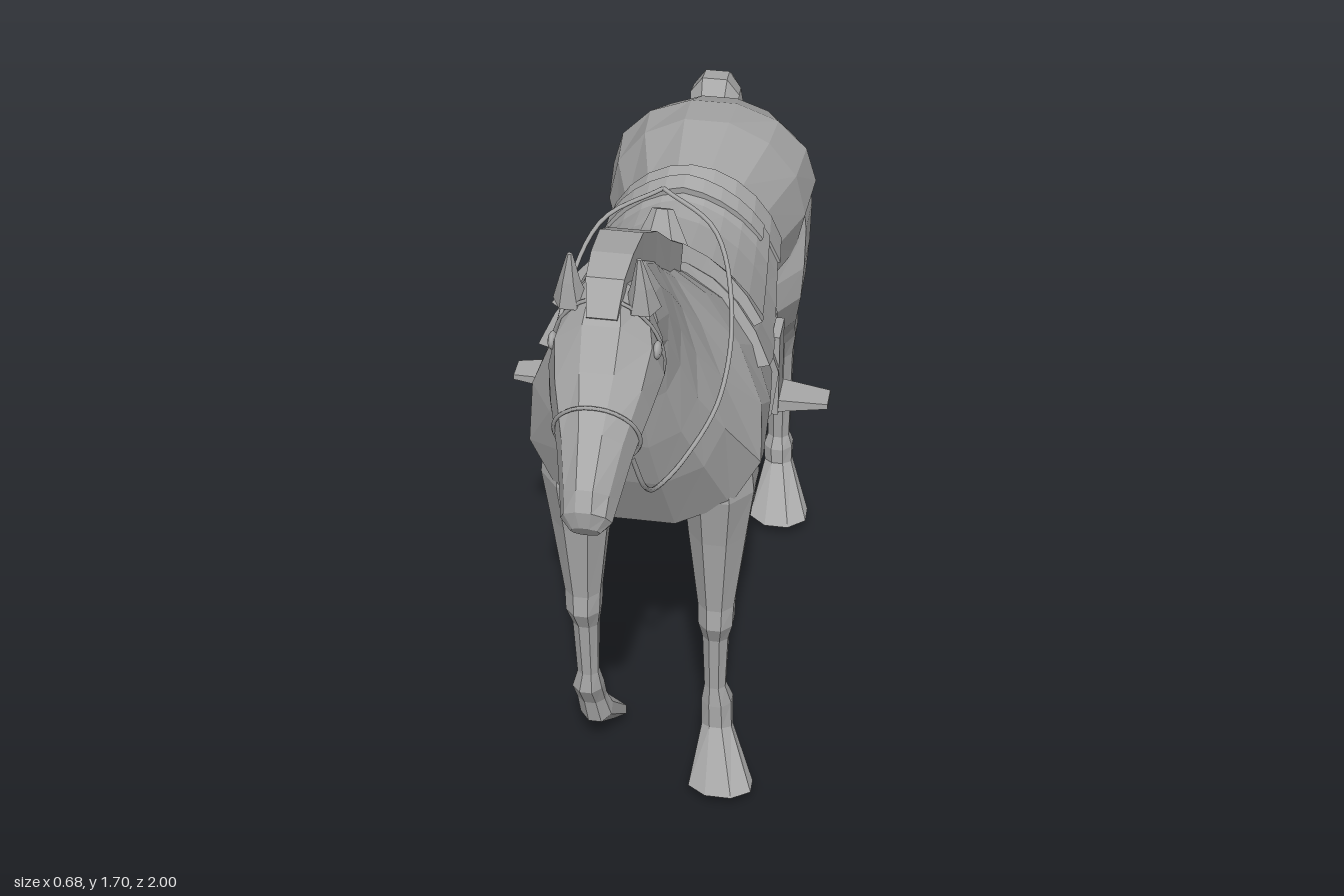
import * as THREE from 'three';

const grey = new THREE.MeshStandardMaterial({ color: 0xa8a8a8 });
grey.name = 'grey';

// Section: [frontZ, frontY, backZ, backY, halfWidth, egg, centreX]
const point = (s, a, off = 0) => {
  const [fz, fy, bz, by, w, k = 0, cx = 0] = s;
  const h = Math.hypot(fz - bz, fy - by) / 2;
  const c = Math.cos(a) * (h + off) / (2 * h);
  return new THREE.Vector3(
    cx + (w + off) * Math.sin(a) * (1 + k * Math.cos(a)),
    (fy + by) / 2 + (fy - by) * c,
    (fz + bz) / 2 + (fz - bz) * c);
};

// Full ring round a section
const ring = (s, n, off = 0) =>
  Array.from({ length: n }, (_, i) => point(s, (i + 0.5) / n * Math.PI * 2, off));

// Section at a fractional position in a list
const at = (list, t) => {
  const i = Math.min(Math.floor(t), list.length - 2);
  return list[i].map((v, j) => v + (list[i + 1][j] - v) * (t - i));
};

// Skin closed rings, cap both ends, and turn the faces outwards
function loft(rings) {
  const n = rings[0].length, pos = rings.flat().flatMap((p) => [p.x, p.y, p.z]), idx = [];
  for (let r = 0; r < rings.length - 1; r++) {
    for (let i = 0; i < n; i++) {
      const a = r * n + i, b = r * n + (i + 1) % n;
      idx.push(a, b, a + n, b, b + n, a + n);
    }
  }
  const last = (rings.length - 1) * n;
  for (let i = 0; i < n / 2 - 1; i++) {
    const a = i, b = i + 1, c = n - 2 - i, d = n - 1 - i;
    idx.push(a, c, b, a, d, c);
    idx.push(last + a, last + b, last + c, last + a, last + c, last + d);
  }
  const all = rings.flat(), cross = new THREE.Vector3();
  let volume = 0;
  for (let i = 0; i < idx.length; i += 3) {
    volume += all[idx[i]].dot(cross.crossVectors(all[idx[i + 1]], all[idx[i + 2]]));
  }
  if (volume < 0) idx.reverse();
  const g = new THREE.BufferGeometry();
  g.setAttribute('position', new THREE.Float32BufferAttribute(pos, 3));
  g.setIndex(idx);
  const flat = g.toNonIndexed();
  flat.computeVertexNormals();
  return flat;
}

const BODY = [
  [-0.72, 1.18, -0.745, 1.04, 0.09, 0],
  [-0.67, 1.225, -0.70, 0.93, 0.18, 0],
  [-0.58, 1.265, -0.61, 0.87, 0.235, 0],
  [-0.47, 1.28, -0.49, 0.81, 0.225, 0],
  [-0.30, 1.265, -0.36, 0.82, 0.175, -0.05],
  [-0.10, 1.215, -0.15, 0.765, 0.20, -0.08],
  [0.10, 1.255, 0.05, 0.75, 0.225, -0.1],
  [0.20, 1.33, 0.28, 0.76, 0.243, -0.15],
  [0.27, 1.39, 0.39, 0.81, 0.236, -0.3],
  [0.35, 1.46, 0.48, 0.98, 0.165, -0.45],
  [0.42, 1.515, 0.53, 1.11, 0.124, -0.4],
  [0.49, 1.565, 0.565, 1.24, 0.102, -0.3],
  [0.59, 1.62, 0.60, 1.35, 0.09, -0.2],
  [0.68, 1.64, 0.64, 1.38, 0.08, -0.1],
];
const HEAD = [
  [0.64, 1.63, 0.62, 1.40, 0.06, 0],
  [0.735, 1.655, 0.655, 1.345, 0.095, -0.1],
  [0.80, 1.59, 0.71, 1.325, 0.108, 0.05],
  [0.85, 1.52, 0.78, 1.315, 0.093, 0.1],
  [0.92, 1.435, 0.84, 1.28, 0.07, 0],
  [0.985, 1.355, 0.89, 1.245, 0.055, -0.1],
  [1.0, 1.315, 0.94, 1.235, 0.048, 0],
  [0.995, 1.275, 0.97, 1.24, 0.028, 0],
];
const MANE = [
  [0.23, 1.42, 0.29, 1.34, 0.085],
  [0.33, 1.49, 0.38, 1.41, 0.075],
  [0.455, 1.59, 0.49, 1.50, 0.065],
  [0.58, 1.665, 0.60, 1.57, 0.058],
  [0.68, 1.68, 0.68, 1.58, 0.055],
  [0.755, 1.67, 0.73, 1.58, 0.05],
  [0.80, 1.605, 0.75, 1.55, 0.04],
];
const TAIL = [
  [-0.70, 1.15, -0.71, 1.07, 0.04, 0, -0.01],
  [-0.75, 1.155, -0.76, 1.075, 0.052, 0, -0.03],
  [-0.79, 1.205, -0.80, 1.11, 0.058, 0, -0.03],
  [-0.84, 1.2, -0.83, 1.11, 0.056, 0, -0.03],
  [-0.895, 1.165, -0.855, 1.08, 0.052, 0, -0.03],
  [-0.955, 1.04, -0.895, 0.99, 0.048, 0, -0.02],
  [-1.0, 0.89, -0.935, 0.87, 0.033, 0, 0.005],
  [-0.997, 0.73, -0.99, 0.74, 0.006, 0, 0.035],
];
// Legs on the model's left; mirrored for the right
const FORELEG = [
  [0.36, 1.08, 0.22, 1.08, 0.07, 0, 0.14],
  [0.395, 0.88, 0.19, 0.87, 0.08, 0, 0.15],
  [0.37, 0.75, 0.222, 0.75, 0.066, 0, 0.147],
  [0.345, 0.55, 0.255, 0.55, 0.042, 0, 0.145],
  [0.35, 0.50, 0.255, 0.49, 0.04, 0, 0.145],
  [0.325, 0.45, 0.26, 0.44, 0.03, 0, 0.143],
  [0.31, 0.30, 0.265, 0.30, 0.025, 0, 0.142],
  [0.315, 0.25, 0.24, 0.25, 0.036, 0, 0.145],
];
const HINDLEG = [
  [-0.46, 1.12, -0.69, 1.10, 0.095, 0, 0.12],
  [-0.42, 0.98, -0.715, 1.00, 0.108, 0, 0.125],
  [-0.40, 0.89, -0.67, 0.92, 0.106, 0, 0.128],
  [-0.405, 0.81, -0.65, 0.84, 0.095, 0, 0.133],
  [-0.49, 0.70, -0.665, 0.74, 0.07, 0, 0.14],
  [-0.61, 0.605, -0.72, 0.66, 0.047, 0, 0.148],
  [-0.65, 0.56, -0.777, 0.585, 0.042, 0, 0.15],
  [-0.68, 0.50, -0.77, 0.50, 0.033, 0, 0.15],
  [-0.705, 0.24, -0.755, 0.24, 0.028, 0, 0.15],
  [-0.69, 0.21, -0.77, 0.21, 0.038, 0, 0.15],
];
// Pastern and hoof endings, one per leg
const FEET = {
  foreLeft: [[0.315, 0.19, 0.255, 0.17, 0.036, 0, 0.147], [0.395, 0.055, 0.305, 0.065, 0.076, 0, 0.165]],
  foreRight: [[0.28, 0.19, 0.225, 0.20, 0.034, 0, 0.142], [0.265, 0.12, 0.21, 0.17, 0.038, 0, 0.135],
    [0.15, 0.03, 0.147, 0.095, 0.05, 0, 0.13]],
  hindLeft: [[-0.69, 0.17, -0.755, 0.16, 0.036, 0, 0.152], [-0.59, 0.045, -0.695, 0.065, 0.076, 0, 0.165]],
  hindRight: [[-0.70, 0.17, -0.765, 0.16, 0.036, 0, 0.15], [-0.645, 0.005, -0.745, 0.065, 0.072, 0, 0.15]],
};

export function createModel() {
  const model = new THREE.Group();
  model.name = 'saddledHorse';
  const add = (name, geometry) => {
    const mesh = new THREE.Mesh(geometry, grey);
    mesh.name = name;
    model.add(mesh);
    return mesh;
  };
  const rings = (list, n) => list.map((s) => ring(s, n));
  const tube = (name, pts, radius, closed = false) =>
    add(name, new THREE.TubeGeometry(new THREE.CatmullRomCurve3(pts, closed), 40, radius, 5, closed));

  // Animal
  add('bodyAndNeck', loft(rings(BODY, 14)));
  add('head', loft(rings(HEAD, 10)));
  add('mane', loft(rings(MANE, 4)));
  add('tail', loft(rings(TAIL, 6)));
  for (const [name, foot] of Object.entries(FEET)) {
    const mirror = name.endsWith('Right') ? -1 : 1;
    const list = [...(name.startsWith('fore') ? FORELEG : HINDLEG), ...foot];
    add(name + 'Leg', loft(rings(list.map((s) => [...s.slice(0, 6), s[6] * mirror]), 8)));
  }

  // Saddle layers: thick arches over the back, the sides flaring forward and thinning
  const shell = (name, t0, t1, A, outer, flare = 0, thin = 0) => {
    const angles = Array.from({ length: 11 }, (_, i) => A * (i / 5 - 1));
    add(name, loft(Array.from({ length: 7 }, (_, j) => {
      const side = (off) => angles.map((a) => {
        const u = Math.abs(a) / A;
        return point(at(BODY, t0 + (t1 - t0 + flare * u) * j / 6), a, off * (1 - thin * u));
      });
      return [...side(outer), ...side(-0.01).reverse()];
    })));
  };
  shell('saddleBlanket', 4.18, 6.7, 1.3, 0.02, 0.5);
  shell('saddleRearBand', 4.15, 4.5, 1.3, 0.026);
  shell('saddleSeat', 4.5, 6.55, 1.0, 0.06, 0.35, 0.45);
  shell('saddleRearRim', 4.55, 4.75, 0.85, 0.075, 0, 0.4);
  shell('saddleFrontRim', 6.45, 6.62, 1.0, 0.066, 0.3, 0.4);
  add('saddleHorn', loft(rings([
    [0.175, 1.33, 0.115, 1.33, 0.06], [0.155, 1.38, 0.115, 1.37, 0.04], [0.135, 1.42, 0.115, 1.41, 0.022]], 6)));

  // Girth straps round the belly
  const strap = (name, t0, t1, off) =>
    add(name, loft([t0, t1].map((t) => ring(at(BODY, t), 14, off))));
  strap('frontGirth', 5.68, 6.05, 0.014);
  strap('rearGirth', 4.87, 4.94, 0.01);

  for (const side of [-1, 1]) {
    const label = side > 0 ? 'left' : 'right';
    // Stirrup leather and tapering stirrup plate
    add(label + 'StirrupLeather', new THREE.BoxGeometry(0.018, 0.2, 0.075)).position.set(side * 0.229, 0.98, 0.025);
    const plate = new THREE.BoxGeometry(0.14, 0.035, 0.09);
    const p = plate.attributes.position;
    for (let i = 0; i < p.count; i++) if (p.getX(i) * side > 0) p.setXYZ(i, p.getX(i), p.getY(i) * 0.35, p.getZ(i) * 0.6);
    plate.computeVertexNormals();
    add(label + 'Stirrup', plate).position.set(side * 0.272, 0.9, 0.018);

    // Ear and eye
    add(label + 'Ear', loft(rings([
      [0.77, 1.59, 0.70, 1.60, 0.034, 0, side * 0.066], [0.765, 1.645, 0.73, 1.645, 0.02, 0, side * 0.066],
      [0.758, 1.705, 0.75, 1.705, 0.005, 0, side * 0.063]], 6)));
    const eye = add(label + 'Eye', new THREE.SphereGeometry(0.018, 8, 6));
    eye.position.set(side * 0.097, 1.52, 0.765);
    eye.scale.x = 0.5;

    // Rein from the bit to above the withers
    tube(label + 'Rein', [[0.06, 1.32, 0.83], [0.075, 1.22, 0.785], [0.085, 1.155, 0.70], [0.12, 1.15, 0.60],
      [0.168, 1.2, 0.46], [0.168, 1.30, 0.30], [0.115, 1.41, 0.18], [0, 1.46, 0.12]]
      .map(([x, y, z]) => new THREE.Vector3(x * side, y, z)), 0.005);
  }

  // Bridle bands round the head
  tube('noseBand', ring(at(HEAD, 3.6), 10, 0.001), 0.004, true);
  tube('cheekBand', ring(at(HEAD, 1.5), 10, 0.001), 0.004, true);
  return model;
}
